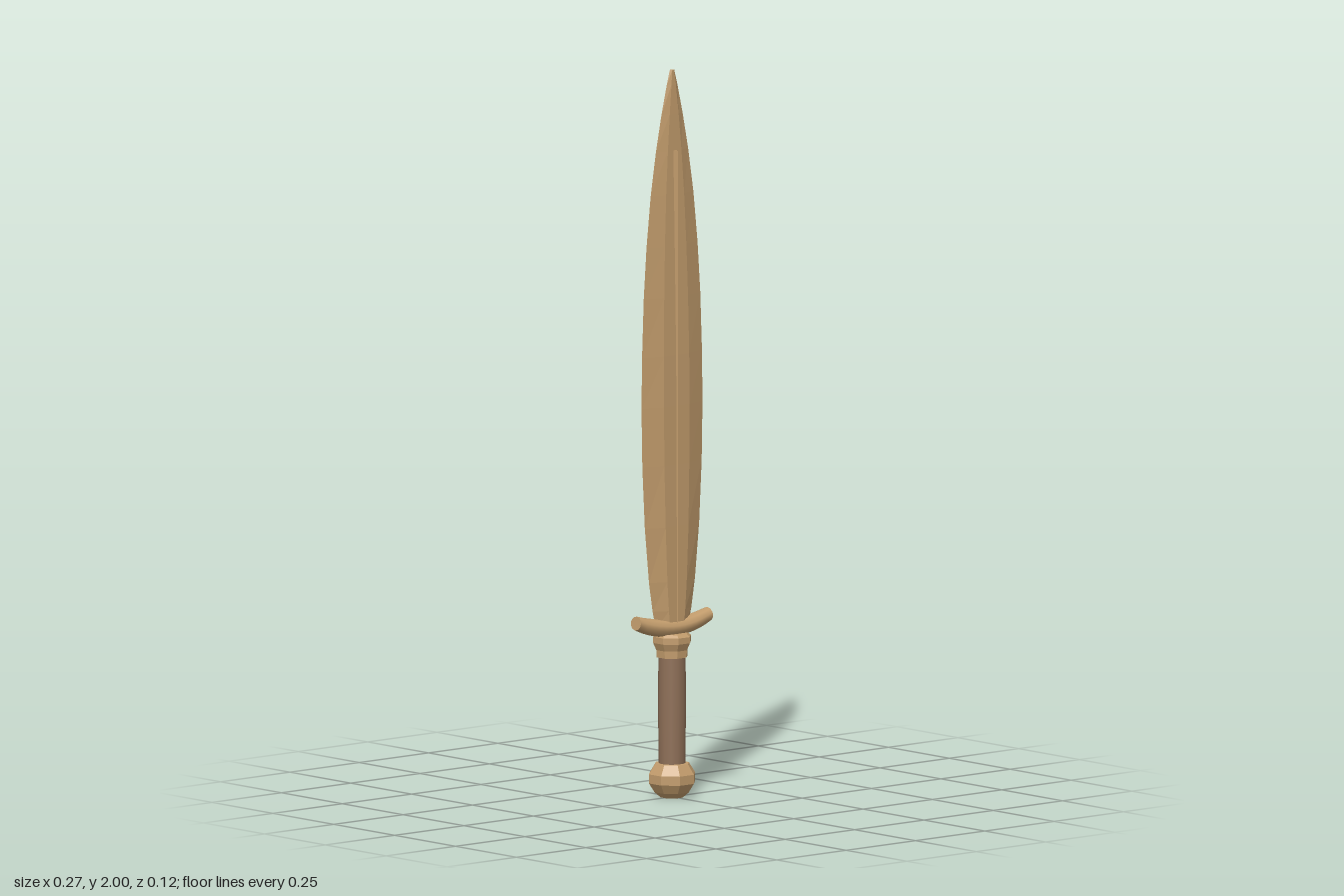
import * as THREE from 'three';

// Skin a list of equal-sized closed rings of [x, y, z] points and cap both ends.
function loft(rings) {
  const n = rings[0].length, last = rings.length - 1;
  const index = [];
  for (let i = 0; i < last; i++) {
    for (let j = 0; j < n; j++) {
      const a = i * n + j, b = i * n + (j + 1) % n;
      index.push(a, b, b + n, a, b + n, a + n);
    }
  }
  // caps use their own vertices so the rim stays sharp
  const start = (last + 1) * n, end = start + n;
  for (let j = 1; j < n - 1; j++) {
    index.push(start, start + j + 1, start + j);
    index.push(end, end + j, end + j + 1);
  }
  const points = [...rings, rings[0], rings[last]].flat(2);
  const geometry = new THREE.BufferGeometry();
  geometry.setAttribute('position', new THREE.Float32BufferAttribute(points, 3));
  geometry.setIndex(index);
  geometry.computeVertexNormals();
  return geometry;
}

function lathe(profile, sides) {
  const points = profile.map(([r, y]) => new THREE.Vector2(r, y));
  return new THREE.LatheGeometry(points, sides, Math.PI / sides);
}

export function createModel() {
  const group = new THREE.Group();
  const bronze = new THREE.MeshStandardMaterial({ color: 0xc29c6c, flatShading: true });
  const smoothBronze = new THREE.MeshStandardMaterial({ color: 0xc29c6c });
  const leather = new THREE.MeshStandardMaterial({ color: 0x8f7058 });
  const add = (name, geometry, material) => {
    const mesh = new THREE.Mesh(geometry, material);
    mesh.name = name;
    group.add(mesh);
  };

  // Leaf-shaped blade with a six-sided section: [height, half width, half thickness]
  const sections = [
    [0.47, 0.058, 0.021], [0.52, 0.07, 0.021], [0.6, 0.083, 0.021], [0.75, 0.098, 0.021],
    [0.92, 0.107, 0.02], [1.08, 0.11, 0.02], [1.22, 0.108, 0.019], [1.38, 0.102, 0.017],
    [1.52, 0.092, 0.015], [1.66, 0.077, 0.013], [1.78, 0.058, 0.011], [1.88, 0.038, 0.009],
    [1.96, 0.019, 0.007], [2.0, 0.008, 0.005],
  ];
  add('blade', loft(sections.map(([y, w, t]) => {
    const f = w * 0.42;
    return [[w, y, 0], [f, y, -t], [-f, y, -t], [-w, y, 0], [-f, y, t], [f, y, t]];
  })), bronze);

  // Slim diamond rib running up both faces
  add('centralRib', loft([0.47, 1.78].map((y) =>
    [[0.009, y, 0], [0, y, -0.024], [-0.009, y, 0], [0, y, 0.024]])), bronze);

  // Upswept guard, thickest in the middle
  const guardRings = [];
  for (let i = 0; i <= 12; i++) {
    const u = i / 6 - 1;
    const bend = u * u;
    const height = 0.025 - 0.006 * bend;
    const depth = 0.032 - 0.011 * bend;
    const ring = [];
    for (let k = 0; k < 10; k++) {
      const a = (k / 10) * Math.PI * 2;
      ring.push([
        u * 0.13 - Math.cos(a) * height * u * 0.15,
        0.47 + 0.024 * bend + Math.cos(a) * height,
        Math.sin(a) * depth,
      ]);
    }
    guardRings.push(ring);
  }
  add('guard', loft(guardRings), smoothBronze);

  // Flared collar below the guard
  add('collar', lathe([[0, 0.39], [0.044, 0.39], [0.045, 0.41], [0.054, 0.43], [0.054, 0.447], [0.045, 0.455], [0, 0.455]], 8), bronze);

  // Grip
  add('grip', lathe([[0.036, 0.08], [0.038, 0.25], [0.037, 0.4]], 12), leather);

  // Octagonal pommel
  add('pommel', lathe([[0, 0.005], [0.032, 0.005], [0.05, 0.02], [0.066, 0.045], [0.066, 0.07], [0.048, 0.098], [0, 0.1]], 8), bronze);

  return group;
}
